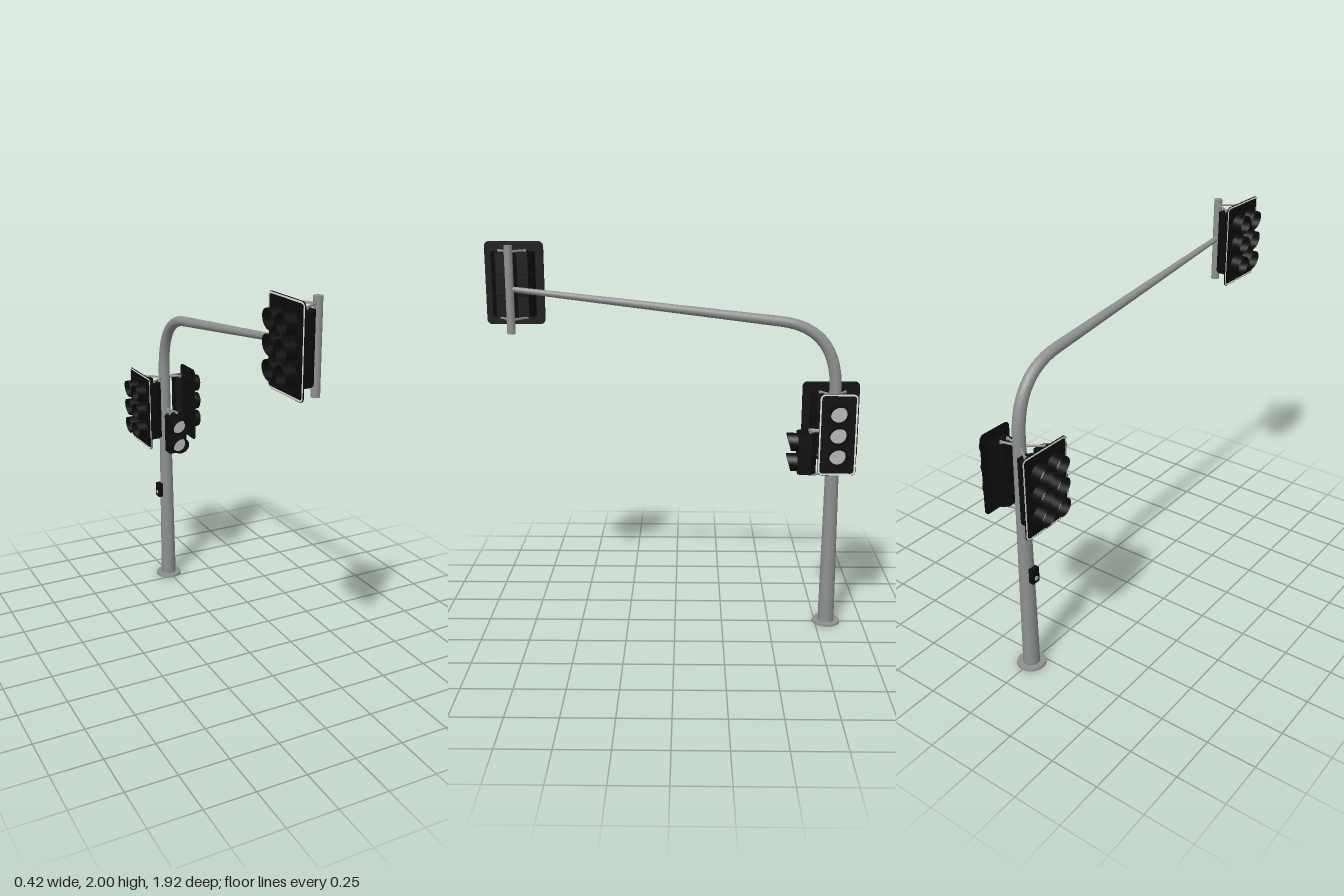
import * as THREE from 'three';

const mat = (name, color, side = THREE.FrontSide) => {
  const m = new THREE.MeshStandardMaterial({ color, side });
  m.name = name;
  return m;
};

export function createModel() {
  const steel = mat('galvanised steel', 0x8c908e);
  const black = mat('black housing', 0x0c0c0c, THREE.DoubleSide);
  const lensGrey = mat('lens grey', 0xb6b6b6);
  const white = mat('reflective white', 0xe4e4e4);

  const model = new THREE.Group();
  model.name = 'trafficSignal';
  const POLE_Z = -0.81, PITCH = 0.108;

  const add = (parent, name, geo, material, x = 0, y = 0, z = 0) => {
    const m = new THREE.Mesh(geo, material);
    m.name = name;
    m.position.set(x, y, z);
    parent.add(m);
    return m;
  };
  const rod = (parent, name, a, b, r) => {
    const va = new THREE.Vector3(...a), vb = new THREE.Vector3(...b);
    const d = vb.clone().sub(va);
    const m = add(parent, name, new THREE.CylinderGeometry(r, r, d.length(), 10), steel);
    m.position.copy(va).add(vb).multiplyScalar(0.5);
    m.quaternion.setFromUnitVectors(new THREE.Vector3(0, 1, 0), d.normalize());
  };

  // Rounded rectangle outline, as a shape or as a hole
  const roundRect = (target, w, h, r) => {
    const x = w / 2, y = h / 2;
    target.absarc(x - r, y - r, r, 0, Math.PI / 2);
    target.absarc(-x + r, y - r, r, Math.PI / 2, Math.PI);
    target.absarc(-x + r, -y + r, r, Math.PI, Math.PI * 1.5);
    target.absarc(x - r, -y + r, r, Math.PI * 1.5, Math.PI * 2);
    target.closePath();
    return target;
  };

  // Lamp section: box with chamfered rear corners, front towards +z
  const section = () => {
    const w = 0.052, s = new THREE.Shape();
    [[-w, -0.145], [w, -0.145], [w, -0.085], [0.027, -0.058], [-0.027, -0.058], [-w, -0.085]]
      .forEach(([x, y], i) => (i ? s.lineTo(x, y) : s.moveTo(x, y)));
    const g = new THREE.ExtrudeGeometry(s, { depth: PITCH - 0.004, bevelEnabled: false });
    return g.rotateX(-Math.PI / 2).translate(0, -(PITCH - 0.004) / 2, 0);
  };

  // Visor: open tube whose mouth leans back towards the bottom
  const visor = (slant) => {
    const g = new THREE.CylinderGeometry(0.047, 0.047, 0.062, 24, 1, true).rotateX(Math.PI / 2);
    const p = g.attributes.position;
    for (let i = 0; i < p.count; i++) {
      if (p.getZ(i) > 0) p.setZ(i, 0.031 - slant * (0.047 - p.getY(i)) / 0.094);
    }
    g.computeVertexNormals();
    return g;
  };

  // Signal head facing +z, with the pole axis at the local origin
  const signal = (name, cols, rows, slant, plateWidth) => {
    const head = new THREE.Group();
    head.name = name;
    for (let c = 0; c < cols; c++) {
      for (let r = 0; r < rows; r++) {
        const x = (c - (cols - 1) / 2) * PITCH, y = (r - (rows - 1) / 2) * PITCH;
        add(head, 'lampSection', section(), black, x, y);
        add(head, 'lampDoor', new THREE.BoxGeometry(0.102, 0.102, 0.008), black, x, y, 0.149);
        const lens = new THREE.CylinderGeometry(0.041, 0.041, 0.006, 24).rotateX(Math.PI / 2);
        add(head, 'lens', lens, lensGrey, x, y, 0.153);
        add(head, 'visor', visor(slant), black, x, y, 0.179);
      }
    }
    const half = rows * PITCH / 2;
    add(head, 'housingCore',
      new THREE.BoxGeometry(cols * PITCH - 0.02, half * 2 - 0.01, 0.055), black, 0, 0, 0.11);
    if (plateWidth) {
      const h = 0.418;
      const plate = roundRect(new THREE.Shape(), plateWidth, h, 0.025);
      add(head, 'backplate',
        new THREE.ExtrudeGeometry(plate, { depth: 0.005, bevelEnabled: false }), black, 0, 0, 0.145);
      const border = roundRect(new THREE.Shape(), plateWidth - 0.004, h - 0.004, 0.023);
      border.holes.push(roundRect(new THREE.Path(), plateWidth - 0.02, h - 0.02, 0.015));
      add(head, 'reflectiveBorder',
        new THREE.ExtrudeGeometry(border, { depth: 0.001, bevelEnabled: false }), white, 0, 0, 0.15);
    }
    // V-shaped brackets above and below the housing
    const spread = cols > 1 ? 0.065 : 0.022;
    for (const s of [-1, 1]) {
      const y = s * (half + 0.006);
      for (const k of [-1, 1]) {
        rod(head, 'bracketArm', [0, y, 0], [k * spread, y, 0.09], 0.006);
        rod(head, 'bracketPin', [k * spread, y + s * 0.005, 0.09], [k * spread, y - s * 0.02, 0.09], 0.007);
      }
    }
    model.add(head);
    return head;
  };

  const place = (head, x, y, z, turn) => {
    head.position.set(x, y, z);
    head.rotation.y = turn;
  };
  place(signal('overheadSignal', 2, 3, 0.01, 0.298), 0, 1.791, 0.815, -Math.PI / 2);
  place(signal('poleDoubleSignal', 2, 3, 0.01, 0.298), 0, 1.076, POLE_Z, -Math.PI / 2);
  place(signal('poleSingleSignal', 1, 3, 0.01, 0.19), 0, 1.076, POLE_Z, Math.PI / 2);
  place(signal('pedestrianSignal', 1, 2, 0.025, 0), 0, 0.946, POLE_Z + 0.03, 0);

  // Tapered pole bending over into the mast arm
  const v = (y, z) => new THREE.Vector3(0, y, z);
  const path = new THREE.CurvePath();
  path.add(new THREE.LineCurve3(v(0, POLE_Z), v(1.28, POLE_Z)));
  path.add(new THREE.QuadraticBezierCurve3(v(1.28, POLE_Z), v(1.587, POLE_Z), v(1.62, -0.53)));
  path.add(new THREE.LineCurve3(v(1.62, -0.53), v(1.777, 0.81)));
  const SEG = 72, SIDES = 20;
  const tube = new THREE.TubeGeometry(path, SEG, 1, SIDES, false);
  const pos = tube.attributes.position, pt = new THREE.Vector3();
  for (let i = 0; i <= SEG; i++) {
    const centre = path.getPointAt(i / SEG);
    const radius = THREE.MathUtils.lerp(0.043, 0.014, i / SEG);
    for (let j = 0; j <= SIDES; j++) {
      const k = i * (SIDES + 1) + j;
      pt.fromBufferAttribute(pos, k).sub(centre).multiplyScalar(radius).add(centre);
      pos.setXYZ(k, pt.x, pt.y, pt.z);
    }
  }
  add(model, 'poleAndMastArm', tube, steel);
  add(model, 'baseFlange', new THREE.CylinderGeometry(0.072, 0.074, 0.012, 28), steel, 0, 0.006, POLE_Z);

  // Hanger post at the arm tip
  add(model, 'hangerPost', new THREE.CylinderGeometry(0.021, 0.021, 0.435, 20), steel, 0, 1.7725, 0.818);

  // Crossing push button
  add(model, 'buttonBox', new THREE.BoxGeometry(0.026, 0.08, 0.045), black, -0.047, 0.558, POLE_Z);
  add(model, 'pushButton',
    new THREE.CylinderGeometry(0.011, 0.011, 0.006, 16).rotateZ(Math.PI / 2), lensGrey, -0.061, 0.545, POLE_Z);

  return model;
}
